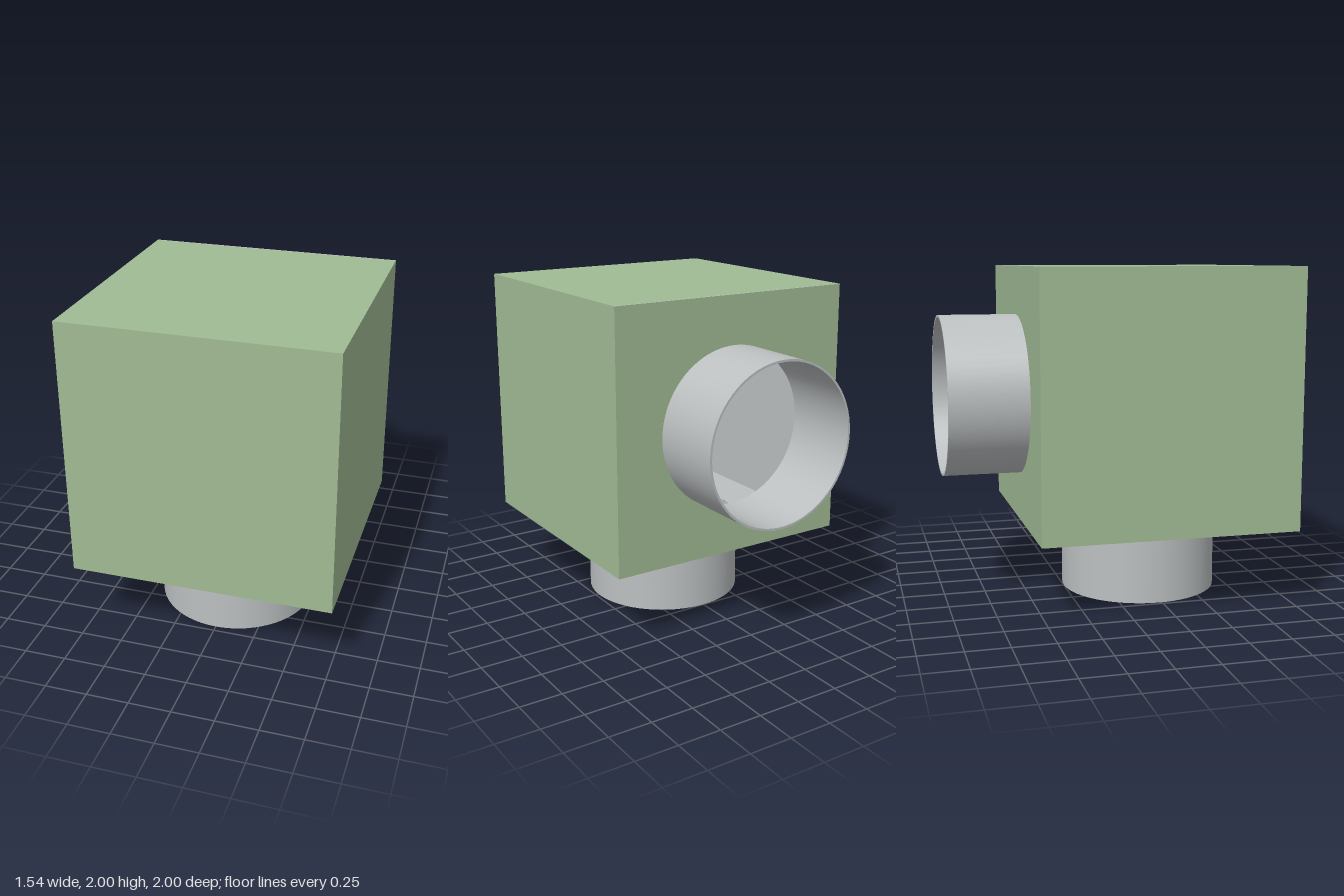
import * as THREE from 'three';
import { mergeGeometries } from 'three/addons/utils/BufferGeometryUtils.js';

const green = new THREE.MeshStandardMaterial({ color: 0xa0bb94 });
green.name = 'sage green paint';
const grey = new THREE.MeshStandardMaterial({ color: 0xbcc0c1 });
grey.name = 'bare grey metal';

const W = 1.54, H = 1.534, D = 1.537; // housing size
const CY = 2 - H / 2, CZ = 1 - D / 2; // housing centre
const T = 0.012; // sheet thickness
const R = 0.48, RI = 0.467, L = 0.464; // pipe radii and length

// Flat rectangle facing +z, with an optional round hole in the middle
function sheet(w, h, hole) {
  const s = new THREE.Shape();
  s.moveTo(-w / 2, -h / 2).lineTo(w / 2, -h / 2).lineTo(w / 2, h / 2).lineTo(-w / 2, h / 2).closePath();
  if (hole) s.holes.push(new THREE.Path().absarc(0, 0, hole, 0, Math.PI * 2, true));
  return new THREE.ShapeGeometry(s, 64);
}

// Open thin-walled pipe along +z; each wall is turned separately to keep its edges sharp
function pipeGeometry() {
  const p = [[R, -T], [R, L], [RI, L], [RI, -T]].map(([x, y]) => new THREE.Vector2(x, y));
  const walls = [0, 1, 2].map(i => new THREE.LatheGeometry([p[i], p[i + 1]], 64));
  return mergeGeometries(walls).rotateX(Math.PI / 2);
}

function addMesh(parent, name, geometry, material) {
  const m = new THREE.Mesh(geometry, material);
  m.name = name;
  parent.add(m);
  return m;
}

export function createModel() {
  const model = new THREE.Group();
  model.name = 'ductBox';

  // Housing walls: painted outside, bare metal inside
  const walls = [
    ['front', W, H, [0, CY, 1], [0, 0, 0]],
    ['back', W, H, [0, CY, 1 - D], [0, Math.PI, 0], true],
    ['left', D, H, [W / 2, CY, CZ], [0, Math.PI / 2, 0]],
    ['right', D, H, [-W / 2, CY, CZ], [0, -Math.PI / 2, 0]],
    ['top', W, D, [0, 2, CZ], [-Math.PI / 2, 0, 0]],
    ['bottom', W, D, [0, 2 - H, CZ], [Math.PI / 2, 0, 0], true],
  ];
  for (const [name, w, h, pos, rot, outlet] of walls) {
    const wall = new THREE.Group();
    wall.name = name + 'Wall';
    wall.position.set(...pos);
    wall.rotation.set(...rot);
    model.add(wall);

    // The top paint stops short of the back sheet's bare edge
    const edge = name === 'top' ? 0.01 : 0;
    addMesh(wall, name + 'Panel', sheet(w, h - edge, outlet && R), green).position.y = -edge / 2;
    if (edge) addMesh(wall, 'backSheetEdge', sheet(w, edge), grey).position.y = (h - edge) / 2;

    const lining = addMesh(wall, name + 'Lining', sheet(w - 2 * T, h - 2 * T, outlet && RI), grey);
    lining.rotation.y = Math.PI;
    lining.position.z = -T;

    if (outlet) addMesh(wall, name + 'Pipe', pipeGeometry(), grey);
  }
  return model;
}
